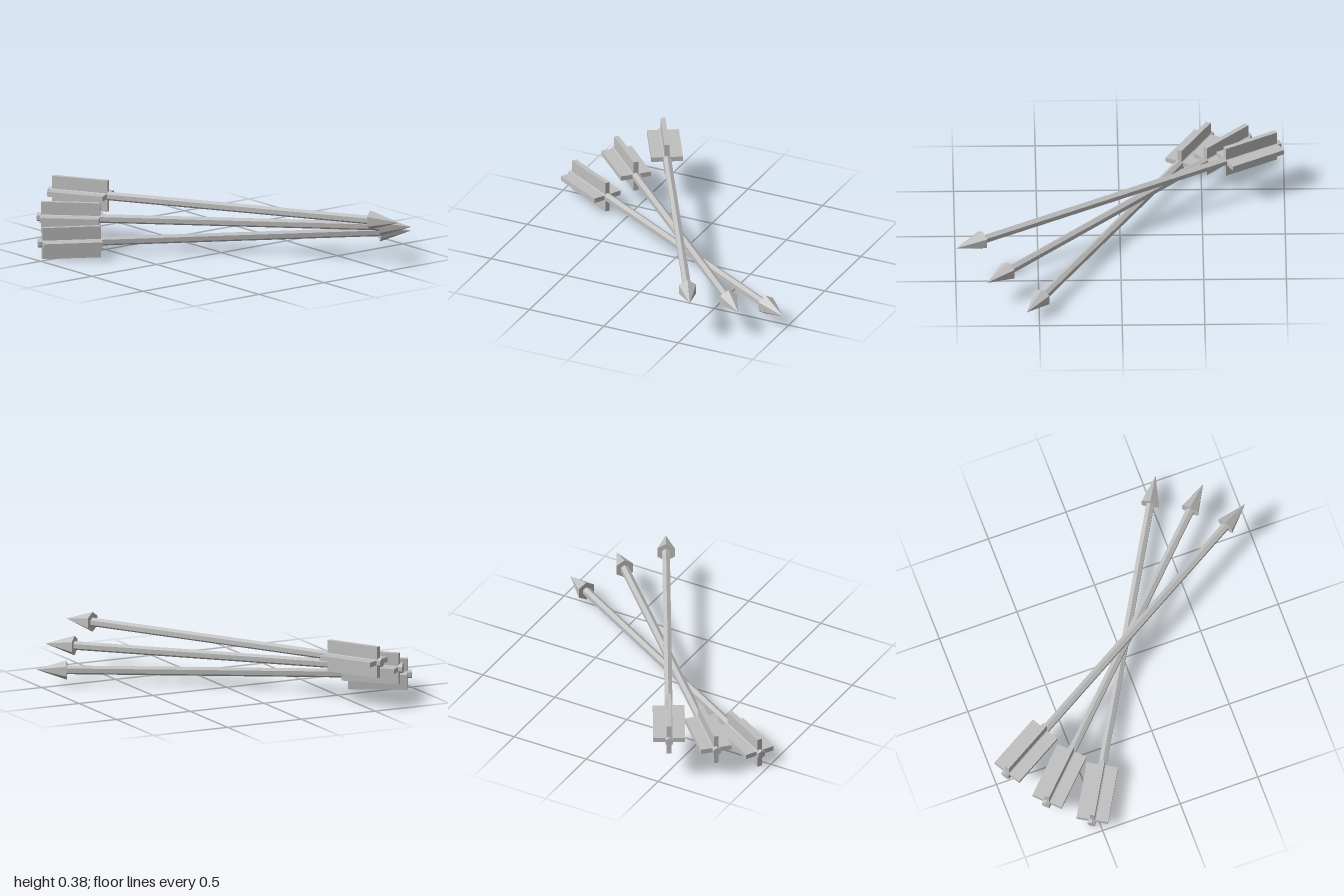
import * as THREE from 'three';

const grey = new THREE.MeshStandardMaterial({ color: 0xbfbfbf, flatShading: true });
grey.name = 'grey';

function part(name, geometry, x) {
  const mesh = new THREE.Mesh(geometry, grey);
  mesh.name = name;
  mesh.position.x = x;
  return mesh;
}

// Six-sided rod or cone lying along +x with a ridge on top
function hexAlongX(rFront, rBack, length) {
  return new THREE.CylinderGeometry(rFront, rBack, length, 6)
    .rotateY(Math.PI / 2)
    .rotateZ(-Math.PI / 2);
}

function createArrow() {
  const tail = -1.123, headBase = 0.967, tip = 1.155;
  const finStart = -1.098, finEnd = -0.738;
  const finLength = finEnd - finStart, finMid = (finStart + finEnd) / 2;
  const finSpan = 0.193, finThick = 0.03;

  const arrow = new THREE.Group();
  arrow.add(
    part('shaft', hexAlongX(0.027, 0.027, headBase - tail), (headBase + tail) / 2),
    part('arrowhead', hexAlongX(0, 0.061, tip - headBase), (tip + headBase) / 2),
    part('uprightFletching', new THREE.BoxGeometry(finLength, finSpan, finThick), finMid),
    part('flatFletching', new THREE.BoxGeometry(finLength, finThick, finSpan), finMid),
  );
  return arrow;
}

export function createModel() {
  const model = new THREE.Group();
  model.name = 'crossedArrows';
  // Three arrows stacked and fanned out, lowest first
  [60, 45, 30].forEach((degrees, i) => {
    const arrow = createArrow();
    arrow.name = ['lowerArrow', 'middleArrow', 'upperArrow'][i];
    arrow.position.y = 0.0965 + i * 0.0955;
    arrow.rotation.y = THREE.MathUtils.degToRad(degrees);
    model.add(arrow);
  });
  return model;
}
